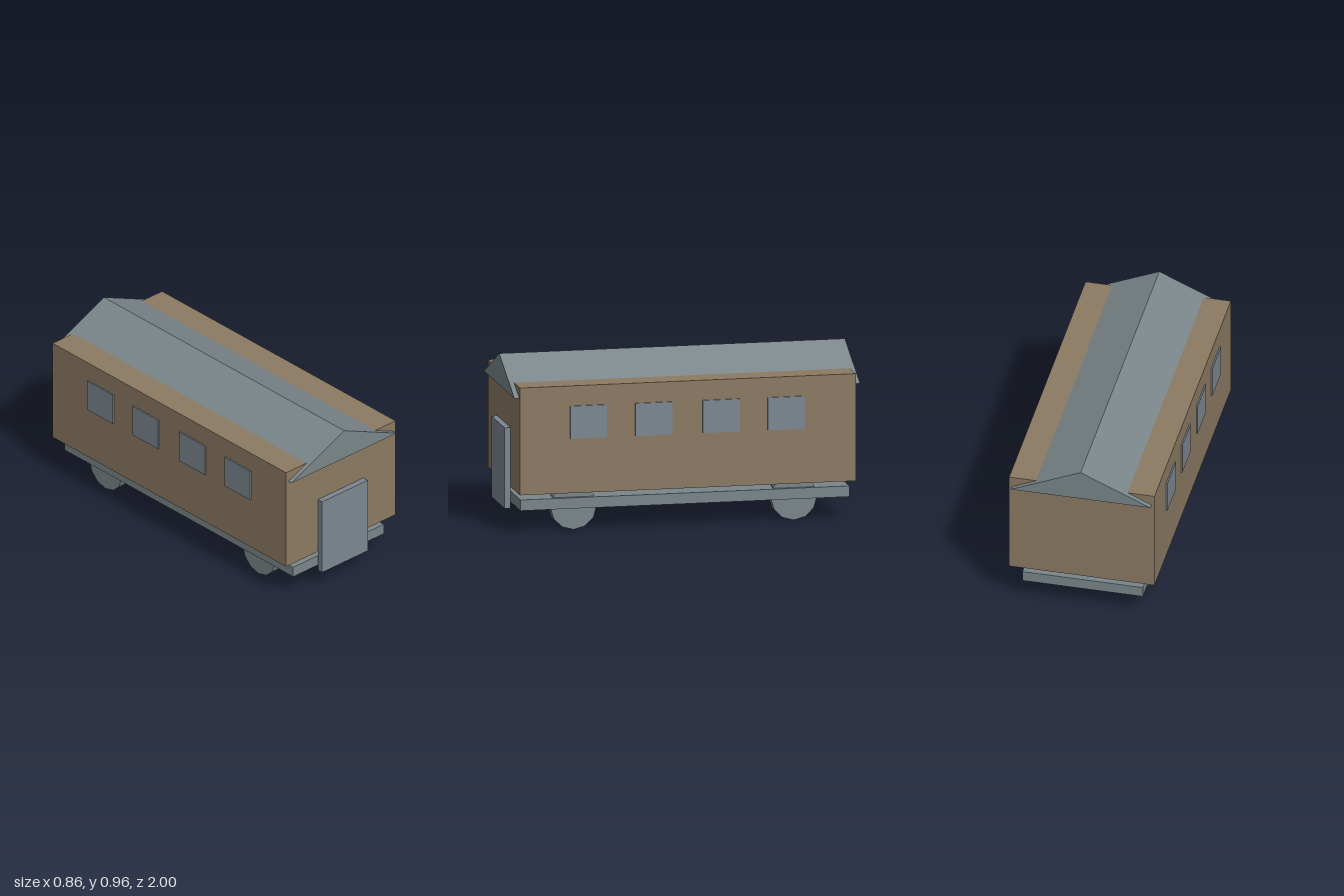
import * as THREE from 'three';

export function createModel() {
  const model = new THREE.Group();
  model.name = 'railCarriage';

  const wood = new THREE.MeshStandardMaterial({ name: 'brown wood', color: 0x8c7a62 });
  const metal = new THREE.MeshStandardMaterial({ name: 'grey metal', color: 0x7a868a });
  const glass = new THREE.MeshStandardMaterial({ name: 'blue grey panel', color: 0x7c8790 });

  const add = (name, geometry, material, x, y, z) => {
    const mesh = new THREE.Mesh(geometry, material);
    mesh.name = name;
    mesh.position.set(x, y, z);
    model.add(mesh);
    return mesh;
  };

  // Cabin and the flat chassis hung below it
  add('body', new THREE.BoxGeometry(0.84, 0.616, 1.936), wood, 0, 0.537, -0.003);
  add('chassis', new THREE.BoxGeometry(0.696, 0.062, 1.896), metal, 0, 0.156, -0.002);

  // Gabled roof prism, overhanging both ends
  const gable = new THREE.Shape([
    new THREE.Vector2(-0.403, 0),
    new THREE.Vector2(0.403, 0),
    new THREE.Vector2(0, 0.18),
  ]);
  const roof = new THREE.ExtrudeGeometry(gable, { depth: 1.993, bevelEnabled: false });
  add('roof', roof, metal, 0, 0.783, -1);

  // Front door panel
  add('door', new THREE.BoxGeometry(0.35, 0.463, 0.035), glass, 0, 0.3385, 0.9825);

  const windowGeometry = new THREE.BoxGeometry(0.016, 0.188, 0.213);

  // Twelve-sided wheels with a corner pointing straight down
  const wheelGeometry = new THREE.CylinderGeometry(0.133, 0.133, 0.065, 12).toNonIndexed();
  wheelGeometry.rotateZ(Math.PI / 2);
  wheelGeometry.computeVertexNormals();

  for (const side of [-1, 1]) {
    const label = side > 0 ? 'left' : 'right';
    for (const z of [-0.57, -0.195, 0.195, 0.57]) {
      add(label + 'Window', windowGeometry, glass, side * 0.42, 0.636, z);
    }
    for (const z of [-0.635, 0.635]) {
      add(label + 'Wheel', wheelGeometry, metal, side * 0.2925, 0.133, z);
    }
  }

  return model;
}
